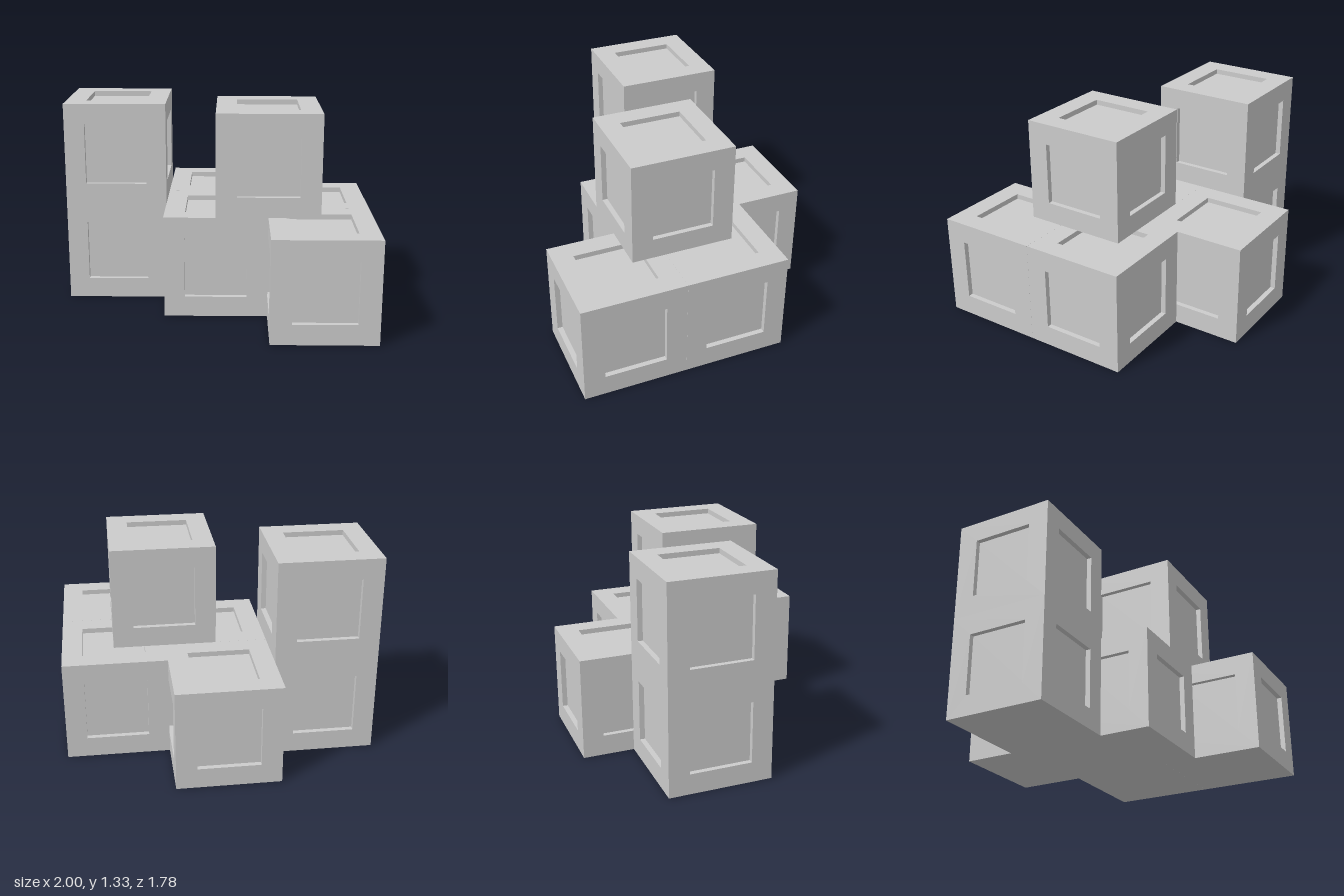
import * as THREE from 'three';
import { mergeGeometries } from 'three/addons/utils/BufferGeometryUtils.js';

const SIZE = 2 / 3;       // edge of one block
const HALF = SIZE / 2;
const INSET = 0.2;        // half width of the sunken panel
const DEPTH = 0.033;      // how far the panel is sunken

// One block face pointing up: square rim, recess walls and sunken panel
function recessedFace() {
  const profile = [
    [HALF, HALF],
    [INSET, HALF],
    [INSET, HALF - DEPTH],
    [0, HALF - DEPTH],
  ].map(([r, y]) => new THREE.Vector2(r * Math.SQRT2, y));
  const face = new THREE.LatheGeometry(profile, 4, Math.PI / 4).toNonIndexed();
  face.computeVertexNormals();
  return face;
}

// Recessed top and four recessed sides on a plain bottom
function blockGeometry() {
  const faces = [recessedFace()];
  for (let i = 0; i < 4; i++) {
    faces.push(recessedFace().rotateX(Math.PI / 2).rotateY(i * Math.PI / 2));
  }
  faces.push(
    new THREE.PlaneGeometry(SIZE, SIZE).toNonIndexed()
      .rotateX(Math.PI / 2).translate(0, -HALF, 0)
  );
  return mergeGeometries(faces);
}

export function createModel() {
  const model = new THREE.Group();
  model.name = 'blockStack';
  const material = new THREE.MeshStandardMaterial({ color: 0xcccccc, flatShading: true });
  const geometry = blockGeometry();

  // Block centres: x, layer, z
  const blocks = {
    rightTowerLower: [-SIZE, 0, -0.222],
    rightTowerUpper: [-SIZE, 1, -0.222],
    middleBackBlock: [0, 0, -0.556],
    middleFrontBlock: [0, 0, 0.111],
    leftBackBlock: [SIZE, 0, -0.111],
    leftFrontBlock: [SIZE, 0, 0.556],
    topBlock: [HALF, 1, 0.111],
  };
  for (const [name, [x, layer, z]] of Object.entries(blocks)) {
    const block = new THREE.Mesh(geometry, material);
    block.name = name;
    block.position.set(x, HALF + layer * SIZE, z);
    model.add(block);
  }
  return model;
}
